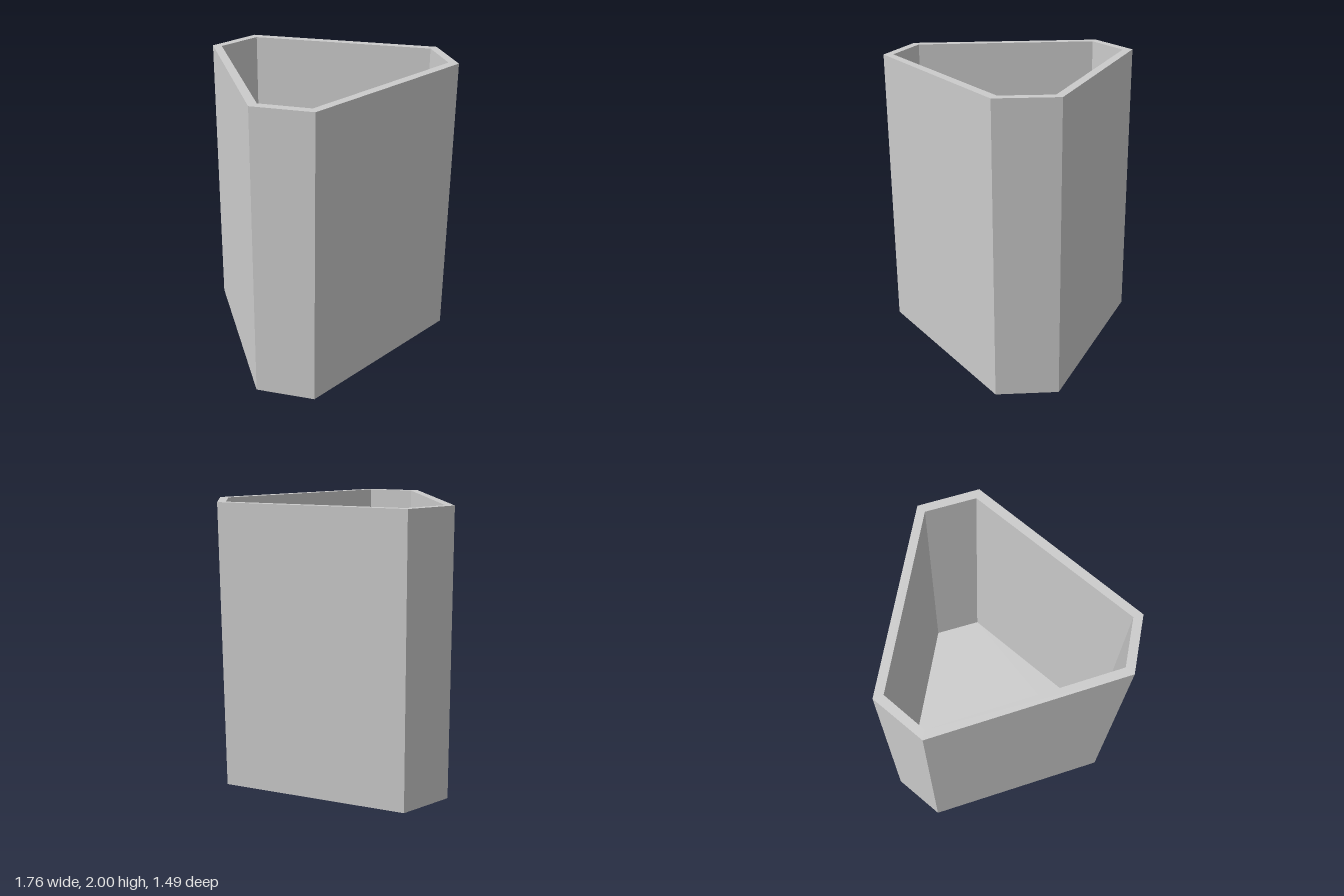
import * as THREE from 'three';

const HEIGHT = 2;
const FLOOR = 0.06;

// Plan outlines as [x, z] corners
const OUTER = [[-0.203, -0.742], [0.193, -0.747], [0.878, 0.394], [0.66, 0.747], [-0.68, 0.74], [-0.88, 0.394]];
const INNER = [[-0.17, -0.686], [0.16, -0.686], [0.812, 0.393], [0.63, 0.684], [-0.645, 0.684], [-0.812, 0.393]];

const toPoints = (corners) => corners.map(([x, z]) => new THREE.Vector2(x, -z));

// Extrudes a plan shape straight up from y = 0
function extrudeUp(name, shape, depth, material) {
  const geometry = new THREE.ExtrudeGeometry(shape, { depth, bevelEnabled: false });
  geometry.rotateX(-Math.PI / 2);
  const mesh = new THREE.Mesh(geometry, material);
  mesh.name = name;
  return mesh;
}

export function createModel() {
  const group = new THREE.Group();
  group.name = 'sixSidedPot';
  const material = new THREE.MeshStandardMaterial({ color: 0xcccccc, flatShading: true });

  // Hollow wall with an open top: outline and hole wind opposite ways
  const wallShape = new THREE.Shape(toPoints(OUTER).reverse());
  wallShape.holes.push(new THREE.Path(toPoints(INNER)));
  group.add(extrudeUp('wall', wallShape, HEIGHT, material));

  // Floor plate closing the bottom
  group.add(extrudeUp('floor', new THREE.Shape(toPoints(INNER).reverse()), FLOOR, material));

  return group;
}
